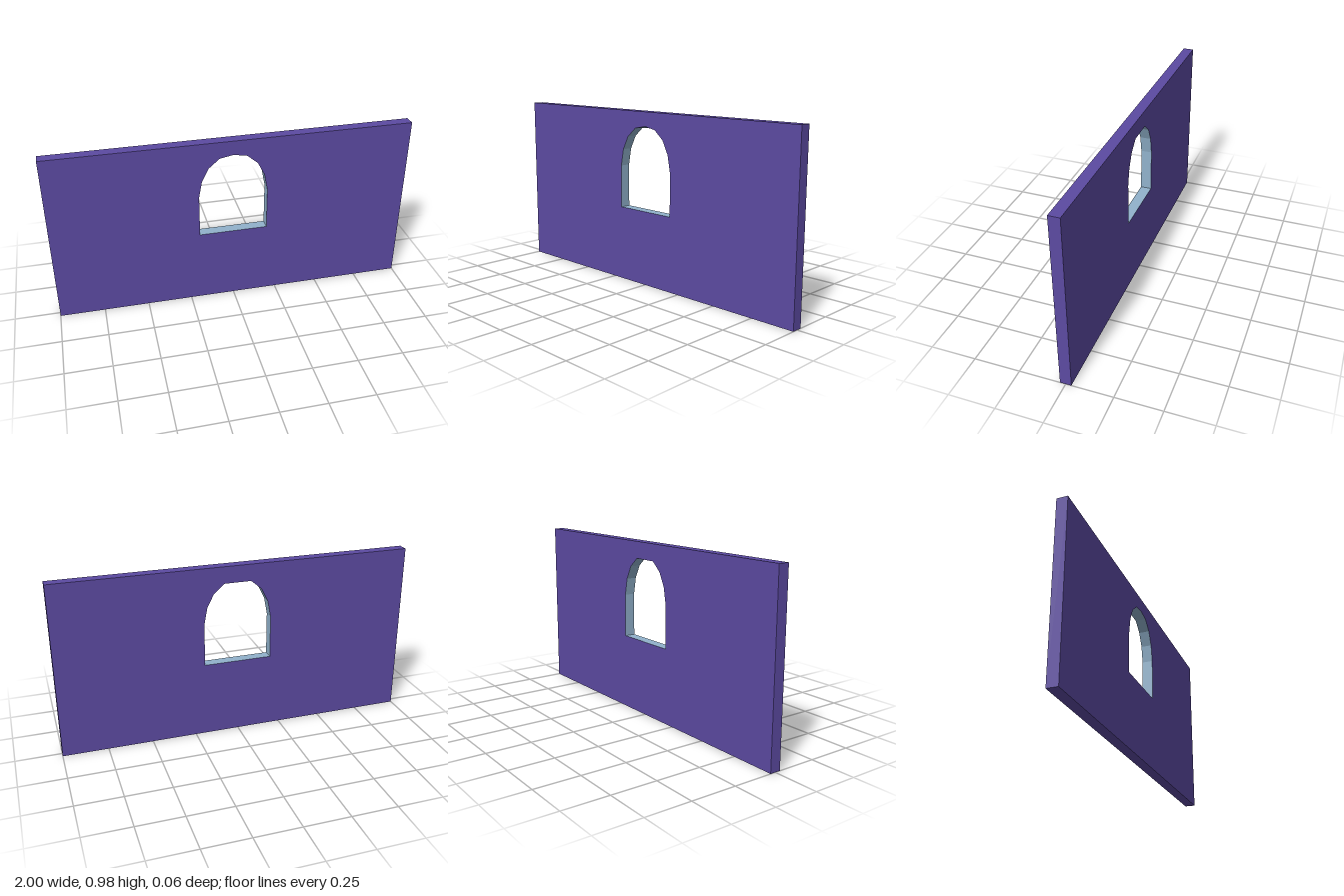
import * as THREE from 'three';

const HALF_DEPTH = 0.03;

// Flat strip joining a closed front outline to a matching back outline.
// Counter-clockwise outlines face outward, clockwise ones face inward.
function rim(front, back) {
  const pos = [];
  front.forEach((a, i) => {
    const j = (i + 1) % front.length;
    const fa = [a.x, a.y, HALF_DEPTH], fb = [front[j].x, front[j].y, HALF_DEPTH];
    const ba = [back[i].x, back[i].y, -HALF_DEPTH], bb = [back[j].x, back[j].y, -HALF_DEPTH];
    pos.push(...fa, ...ba, ...bb, ...fa, ...bb, ...fb);
  });
  const geo = new THREE.BufferGeometry();
  geo.setAttribute('position', new THREE.Float32BufferAttribute(pos, 3));
  geo.computeVertexNormals();
  return geo;
}

// Arched opening, clockwise from the lower left; only the crown height varies.
function archOutline(crown) {
  const half = [[0.19, 0.425], [0.19, 0.665], [0.172, 0.76], [0.134, 0.835], [0.075, 0.886]];
  const left = half.map(([x, y]) => new THREE.Vector2(-x, y));
  const right = half.map(([x, y]) => new THREE.Vector2(x, y)).reverse();
  return [...left, new THREE.Vector2(0, crown), ...right];
}

function wallFace(outline, opening) {
  const shape = new THREE.Shape(outline);
  shape.holes.push(new THREE.Path(opening));
  return new THREE.ShapeGeometry(shape);
}

export function createModel() {
  const wallPurple = new THREE.MeshStandardMaterial({ color: 0x5c4aa2 });
  wallPurple.name = 'wallPurple';
  const revealBlue = new THREE.MeshStandardMaterial({ color: 0x91b2cc });
  revealBlue.name = 'revealBlue';

  const group = new THREE.Group();
  group.name = 'archedWindowWall';
  const add = (name, geometry, material) => {
    const mesh = new THREE.Mesh(geometry, material);
    mesh.name = name;
    group.add(mesh);
    return mesh;
  };

  const outline = [[-1, 0], [1, 0], [1, 0.98], [-1, 0.98]].map(([x, y]) => new THREE.Vector2(x, y));
  const frontArch = archOutline(0.9);   // pointed crown in front
  const backArch = archOutline(0.886);  // flat crown behind

  // Wall slab
  add('frontFace', wallFace(outline, frontArch), wallPurple).position.z = HALF_DEPTH;
  const back = add('backFace', wallFace(outline, backArch), wallPurple);
  back.position.z = -HALF_DEPTH;
  back.rotation.y = Math.PI; // the outline is symmetric, so a half turn fits
  add('wallEdges', rim(outline, outline), wallPurple);

  // Lining of the window opening
  add('windowReveal', rim(frontArch, backArch), revealBlue);
  return group;
}
